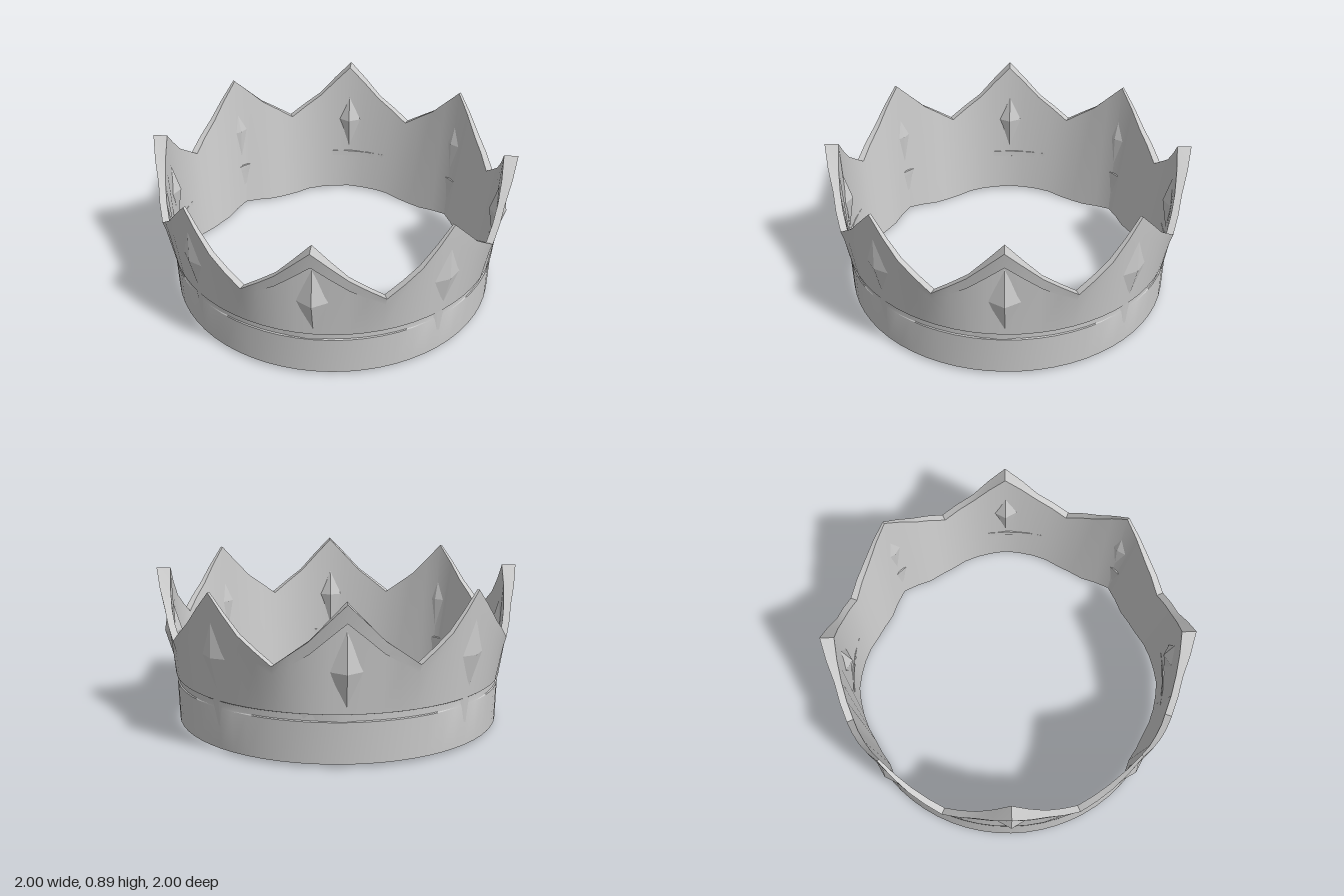
import * as THREE from 'three';
import { toCreasedNormals } from 'three/addons/utils/BufferGeometryUtils.js';

const STEPS = 64;
const material = new THREE.MeshStandardMaterial({ color: 0xcccccc, side: THREE.DoubleSide });

// Piecewise linear lookup through [t, value] points
function along(points, t) {
  for (let i = 1; i < points.length; i++) {
    const [t0, v0] = points[i - 1], [t1, v1] = points[i];
    if (t <= t1) return v0 + (v1 - v0) * (t - t0) / (t1 - t0);
  }
  return points[points.length - 1][1];
}

// Closed [radius, height] section of the crown at one angle step
function section(step) {
  const eighth = step % 8;                              // eight points, eight steps each
  const d = Math.min(eighth, 8 - eighth) / 4;           // 0 at a tip, 1 in a valley
  const diagonal = Math.round(step / 8) % 2 === 1;      // every second point is heavier
  const fold = step % 16;
  const q = Math.min(fold, 16 - fold) / 8;              // 0 at a plain tip, 1 at a heavy tip

  const top = along([[0, 0.89], [0.5, 0.69], [1, 0.55]], d);
  const lip = along(diagonal ? [[0, 0.79], [0.5, 0.62], [1, 0.5]] : [[0, 0.78], [0.5, 0.61], [1, 0.5]], d);
  const topR = diagonal ? along([[0, 1.04], [0.5, 1.0], [1, 1.0]], d) : 1.0;
  const lipR = diagonal ? along([[0, 1.02], [0.5, 0.988], [1, 0.985]], d) : along([[0, 0.992], [1, 0.985]], d);
  const recess = diagonal ? along([[0, 0.05], [0.6, 0], [1, 0]], d) : 0;
  const groove = 0.008 * Math.abs(Math.sin(step / STEPS * Math.PI * 4));

  const innerR = along([[0, 0.925], [0.25, 0.877], [0.5, 0.885], [0.67, 0.905], [1, 0.925]], q);
  const innerTop = diagonal ? 0.96 : along([[0, 0.985], [0.5, 0.968], [1, 0.96]], d);
  const dip = along([[0, 0], [0.42, 0.02], [0.65, 0], [1, 0]], q);

  return [
    [0.93, 0.02], [0.937, 0.25],                        // base band
    [0.937 - groove, 0.255], [0.938 - groove, 0.29],    // groove
    [0.945, 0.295],
    [lipR - recess, lip], [lipR, lip],                  // panel and overhanging border
    [topR, top], [innerTop, top],                       // crest
    [innerR, 0.02 - dip],                               // inside and bottom rim
  ];
}

function crownBody() {
  const positions = [], index = [];
  let rows = 0;
  for (let i = 0; i < STEPS; i++) {
    const a = i / STEPS * Math.PI * 2;
    const points = section(i);
    rows = points.length;
    for (const [r, y] of points) positions.push(r * Math.sin(a), y, r * Math.cos(a));
  }
  for (let i = 0; i < STEPS; i++) {
    for (let j = 0; j < rows; j++) {
      const k = (j + 1) % rows, n = (i + 1) % STEPS;
      const a = i * rows + j, b = n * rows + j, c = n * rows + k, d = i * rows + k;
      index.push(a, b, c, a, c, d);
    }
  }
  const geometry = new THREE.BufferGeometry();
  geometry.setAttribute('position', new THREE.Float32BufferAttribute(positions, 3));
  geometry.setIndex(index);
  const mesh = new THREE.Mesh(toCreasedNormals(geometry, 0.45), material);
  mesh.name = 'crownBody';
  return mesh;
}

export function createModel() {
  const crown = new THREE.Group();
  crown.name = 'crown';
  crown.add(crownBody());

  // Faceted diamond gem on each point
  for (let i = 0; i < 8; i++) {
    const heavy = i % 2 === 1;
    const geometry = new THREE.OctahedronGeometry(1);
    geometry.scale(0.088, heavy ? 0.215 : 0.19, heavy ? 0.05 : 0.026);
    geometry.rotateX(heavy ? 0.07 : 0.1);
    geometry.translate(0, heavy ? 0.525 : 0.54, heavy ? 0.955 : 0.968);
    const gem = new THREE.Mesh(geometry, material);
    gem.name = 'gem';
    gem.rotation.y = i * Math.PI / 4;
    crown.add(gem);
  }
  return crown;
}
